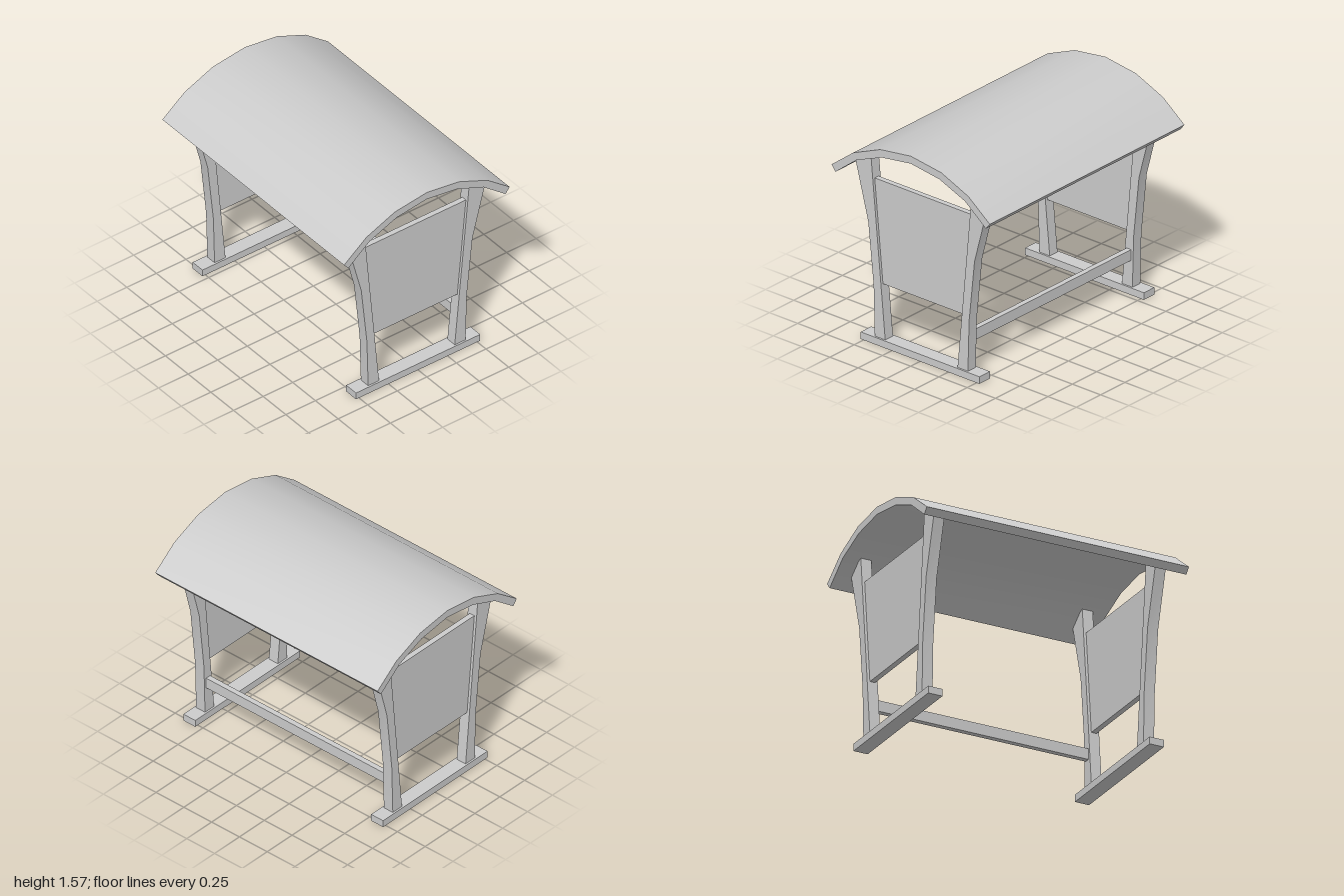
import * as THREE from 'three';
import { toCreasedNormals } from 'three/addons/utils/BufferGeometryUtils.js';

const material = new THREE.MeshStandardMaterial({ color: 0xcccccc });

function addMesh(parent, name, geometry, x = 0, y = 0, z = 0) {
  const mesh = new THREE.Mesh(geometry, material);
  mesh.name = name;
  mesh.position.set(x, y, z);
  parent.add(mesh);
  return mesh;
}

// Extrudes a side profile of [z, y] points along x, centred on x = 0
function sideProfile(points, width) {
  const shape = new THREE.Shape(points.map(([z, y]) => new THREE.Vector2(z, y)));
  const geometry = new THREE.ExtrudeGeometry(shape, { depth: width, bevelEnabled: false });
  geometry.translate(0, 0, -width / 2).rotateY(-Math.PI / 2);
  return toCreasedNormals(geometry, Math.PI / 6);
}

const mirror = (points) => points.map(([z, y]) => [-z, y]);

export function createModel() {
  const model = new THREE.Group();
  model.name = 'shelter';

  // Arched roof: outer and inner half profiles, from the eave to the ridge
  const outer = [[0.7, 1.283], [0.51, 1.43], [0.27, 1.531]];
  const inner = [[0.665, 1.239], [0.48, 1.385], [0.255, 1.476]];
  const across = (half, ridge) => [...half, [0, ridge], ...mirror(half).reverse()];
  const roof = [...across(outer, 1.568), ...across(inner, 1.512).reverse()];
  addMesh(model, 'roof', sideProfile(roof, 2));

  // Two end frames: foot beam, pair of flared legs, side panel
  const leg = [
    [0.32, 0.053], [0.412, 0.053], [0.422, 0.43], [0.47, 0.89],
    [0.58, 1.307], [0.48, 1.385], [0.447, 1.398],
  ];
  const panel = [[-0.357, 0.453], [0.357, 0.453], [0.43, 1.22], [-0.43, 1.22]];
  for (const [side, x] of [['left', 0.85], ['right', -0.84]]) {
    const frame = new THREE.Group();
    frame.name = side + 'EndFrame';
    frame.position.x = x;
    addMesh(frame, 'foot', new THREE.BoxGeometry(0.108, 0.053, 1.05), 0, 0.0265, 0);
    addMesh(frame, 'frontLeg', sideProfile(leg, 0.08));
    addMesh(frame, 'backLeg', sideProfile(mirror(leg), 0.08));
    addMesh(frame, 'sidePanel', sideProfile(panel, 0.04));
    model.add(frame);
  }

  // Rail joining the two back legs
  addMesh(model, 'backRail', new THREE.BoxGeometry(1.61, 0.08, 0.04), 0.005, 0.29, -0.38);

  return model;
}
